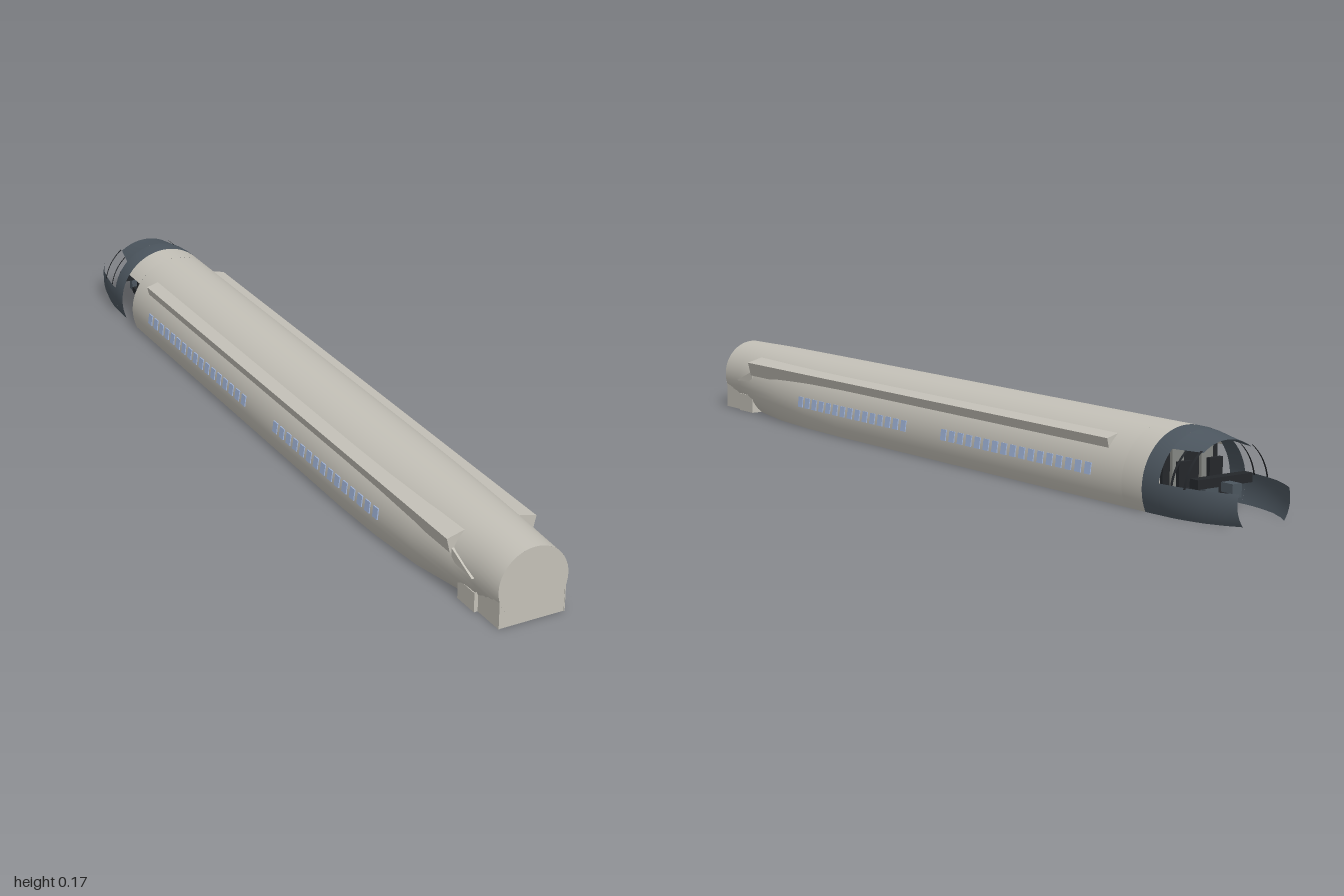
import * as THREE from 'three';

const mat = (name, color, side = THREE.DoubleSide) => {
  const m = new THREE.MeshStandardMaterial({ color, side });
  m.name = name;
  return m;
};

// hull stations from tail to nose joint: [z, radius, centre height]
const HULL = [
  [1, 0.083, 0.087], [0.92, 0.09, 0.081], [0.84, 0.098, 0.074], [0.7, 0.111, 0.061],
  [0.55, 0.119, 0.053], [0.4, 0.122, 0.05], [-0.7, 0.122, 0.05],
];
const NOSE = [
  [-0.815, 0.1205, 0.049], [-0.85, 0.118, 0.045], [-0.89, 0.112, 0.045],
  [-0.93, 0.103, 0.045], [-0.97, 0.087, 0.045], [-1, 0.072, 0.045],
];

// angle on the +x side at which a section reaches height y
const angleAt = (y, r, cy) => Math.asin(THREE.MathUtils.clamp((y - cy) / r, -1, 1));

// skin through circular sections; range gives the start and end angle of each
function loft(stations, range, seg = 40) {
  const pos = [], idx = [];
  stations.forEach(([z, r, cy], i) => {
    const [t0, t1] = range(r, cy);
    for (let j = 0; j <= seg; j++) {
      const t = t0 + (t1 - t0) * j / seg;
      pos.push(r * Math.cos(t), cy + r * Math.sin(t), z);
      if (i && j < seg) {
        const a = (i - 1) * (seg + 1) + j, c = a + seg + 1;
        idx.push(a, c, a + 1, a + 1, c, c + 1);
      }
    }
  });
  const g = new THREE.BufferGeometry();
  g.setAttribute('position', new THREE.Float32BufferAttribute(pos, 3));
  g.setIndex(idx);
  g.computeVertexNormals();
  return g;
}
const arch = (yR, yL = yR) => (r, cy) => [angleAt(yR, r, cy), Math.PI - angleAt(yL, r, cy)];
const band = (y0, y1, s) => (r, cy) => s > 0
  ? [angleAt(y0, r, cy), angleAt(y1, r, cy)]
  : [Math.PI - angleAt(y1, r, cy), Math.PI - angleAt(y0, r, cy)];

function hullAt(z) {
  for (let i = 1; i < HULL.length; i++) {
    const [z0, r0, c0] = HULL[i - 1], [z1, r1, c1] = HULL[i];
    if (z >= z1) {
      const t = (z - z0) / (z1 - z0);
      return [r0 + (r1 - r0) * t, c0 + (c1 - c0) * t];
    }
  }
  return [0.122, 0.05];
}

export function createModel() {
  const model = new THREE.Group();
  const hullMat = mat('hull', 0xc4c1b8), noseMat = mat('nose', 0x4c565f);
  const glass = mat('window', 0xa3b7dc), black = mat('console', 0x24272b);
  const grey = mat('panel', 0x858783);

  const add = (name, geo, m, x = 0, y = 0, z = 0) => {
    const mesh = new THREE.Mesh(geo, m);
    mesh.name = name;
    mesh.position.set(x, y, z);
    model.add(mesh);
    return mesh;
  };
  // box from its extents
  const box = (name, m, x0, x1, y0, y1, z0, z1) => add(name,
    new THREE.BoxGeometry(x1 - x0, y1 - y0, z1 - z0), m, (x0 + x1) / 2, (y0 + y1) / 2, (z0 + z1) / 2);

  // main hull, open underneath, with a doorway on one side
  add('hull', loft(HULL, arch(0)), hullMat);
  add('doorSection', loft([[-0.7, 0.122, 0.05], [-0.765, 0.122, 0.05]], arch(0, 0.12)), hullMat);
  add('endDisc', new THREE.CircleGeometry(0.083, 48), hullMat, 0, 0.087, 1);

  for (const s of [1, -1]) {
    // long side rails
    const rail = new THREE.Shape([[0.108, 0.136], [0.1, 0.102], [0.05, 0.102], [0.05, 0.149], [0.07, 0.146]]
      .map(([x, y]) => new THREE.Vector2(s * x, y)));
    add('sideRail', new THREE.ExtrudeGeometry(rail, { depth: 1.475, bevelEnabled: false }), hullMat, 0, 0, -0.635);

    // sloped bracket below the rail end
    const wedge = new THREE.Shape([[-0.84, 0.112], [-0.84, 0.085], [-0.92, 0.08]]
      .map(([x, y]) => new THREE.Vector2(x, y)));
    const bracket = new THREE.ExtrudeGeometry(wedge, { depth: 0.02, bevelEnabled: false });
    bracket.rotateY(Math.PI / 2);
    add('railBracket', bracket, hullMat, s > 0 ? 0.076 : -0.096, 0, 0);

    // tail skirt walls
    box('tailSkirt', hullMat, s * 0.078 - 0.001, s * 0.078 + 0.001, 0, 0.085, 0.915, 1);
    box('tailFairing', hullMat, s * 0.087 - 0.001, s * 0.087 + 0.001, 0, 0.045, 0.855, 0.92);

    // two rows of cabin windows
    for (const [start, count] of [[0.565, 15], [-0.06, 17]]) {
      for (let i = 0; i < count; i++) {
        const z = start - i * 0.033, [r, cy] = hullAt(z);
        const t = angleAt(0.067, r, cy);
        const pane = add('cabinWindow', new THREE.BoxGeometry(0.004, 0.026, 0.02), glass,
          s * r * Math.cos(t), 0.067, z);
        pane.rotation.z = s * t;
      }
    }

    // lower nose walls and windscreen posts
    add('noseWall', loft(NOSE, band(0, 0.068, s), 12), noseMat);
    for (const z of [-0.845, -0.885]) {
      add('windscreenPost', loft([[z, 0.116, 0.047], [z - 0.006, 0.115, 0.047]], band(0.065, 0.14, s), 8), black);
    }
    // crew seats and wall panels
    box('seatBase', black, s * 0.042 - 0.018, s * 0.042 + 0.018, 0.035, 0.05, -0.84, -0.8);
    box('seatBack', black, s * 0.042 - 0.018, s * 0.042 + 0.018, 0.05, 0.105, -0.81, -0.8);
    box('bulkheadPanel', grey, s * 0.04 - 0.016, s * 0.04 + 0.016, 0.045, 0.135, -0.784, -0.775);
  }

  // closing faces of the tail
  box('tailSkirtEnd', hullMat, -0.078, 0.078, 0, 0.06, 0.997, 0.999);
  box('tailFairingEnd', hullMat, -0.087, 0.087, 0, 0.045, 0.918, 0.92);
  box('tailFairingRear', hullMat, -0.087, 0.087, 0, 0.045, 0.855, 0.857);

  // nose collar and roof
  add('noseCollar', loft([[-0.765, 0.122, 0.05], [-0.79, 0.122, 0.05], NOSE[0]], arch(0)), noseMat);
  add('noseRoof', loft(NOSE.slice(0, 3), arch(0.136), 20), noseMat);

  // cockpit fittings
  box('bulkhead', black, -0.075, 0.075, 0.04, 0.14, -0.776, -0.768);
  box('dashboard', black, -0.075, 0.075, 0.06, 0.08, -0.885, -0.86);
  box('centreConsole', black, -0.014, 0.014, 0.03, 0.062, -0.88, -0.79);
  box('controlPedestal', noseMat, -0.05, 0.05, 0.03, 0.06, -0.88, -0.865);
  box('noseProbe', noseMat, -0.012, 0.012, 0.05, 0.07, -0.92, -0.885);

  // lone cabin seat
  box('cabinSeatBase', black, -0.018, 0.018, 0.035, 0.045, 0.08, 0.12);
  box('cabinSeatBack', black, -0.018, 0.018, 0.045, 0.08, 0.112, 0.12);
  box('cabinSeatPost', black, -0.006, 0.006, 0.015, 0.035, 0.094, 0.106);

  return model;
}
